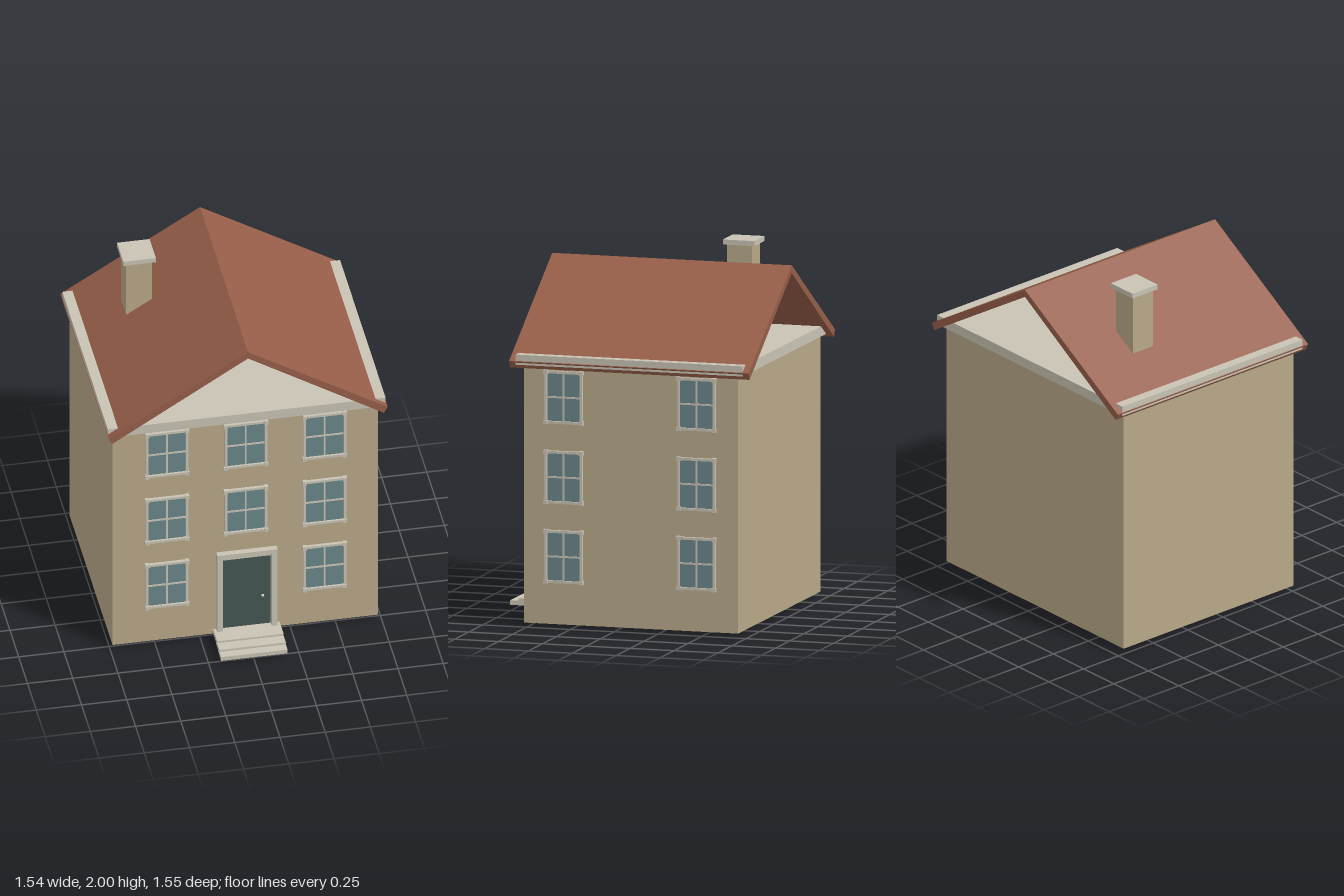
import * as THREE from 'three';

const mat = (name, color) => {
  const m = new THREE.MeshStandardMaterial({ color });
  m.name = name;
  return m;
};

export function createModel() {
  const wall = mat('tan wall', 0xb8a888);
  const trim = mat('pale trim', 0xc8c3b4);
  const roofRed = mat('brick red roof', 0x965d48);
  const glass = mat('blue grey glass', 0x6a868a);
  const doorGreen = mat('dark green door', 0x435552);

  const house = new THREE.Group();
  house.name = 'house';

  // Box given by its lower and upper limits on each axis
  const box = (parent, name, material, [x0, x1], [y0, y1], [z0, z1]) => {
    const mesh = new THREE.Mesh(new THREE.BoxGeometry(x1 - x0, y1 - y0, z1 - z0), material);
    mesh.position.set((x0 + x1) / 2, (y0 + y1) / 2, (z0 + z1) / 2);
    mesh.name = name;
    parent.add(mesh);
    return mesh;
  };

  // Walls and the flat cornice that closes them under the open gables
  box(house, 'walls', wall, [-0.735, 0.732], [0.022, 1.446], [-0.7, 0.52]);
  box(house, 'cornice', trim, [-0.768, 0.768], [1.444, 1.5], [-0.737, 0.557]);

  // Roof: two thin slopes as one chevron, run from back to front
  const chevron = new THREE.Shape([
    [-0.772, 1.463], [-0.752, 1.425], [0, 1.895], [0.752, 1.425], [0.772, 1.463], [0, 1.937],
  ].map(([x, y]) => new THREE.Vector2(x, y)));
  const roof = new THREE.Mesh(
    new THREE.ExtrudeGeometry(chevron, { depth: 1.365, bevelEnabled: false }), roofRed);
  roof.position.z = -0.772;
  roof.name = 'roof';
  house.add(roof);

  // Chimney
  box(house, 'chimneyStack', wall, [-0.502, -0.36], [1.61, 1.972], [-0.431, -0.289]);
  box(house, 'chimneyCap', trim, [-0.521, -0.341], [1.972, 2], [-0.45, -0.27]);

  // Four-pane window, centred on its wall point and facing +z
  const makeWindow = (w, h) => {
    const g = new THREE.Group();
    g.name = 'window';
    const x = w / 2, y = h / 2, t = 0.014, d = 0.018;
    box(g, 'windowGlass', glass, [-x, x], [-y, y], [0, 0.006]);
    box(g, 'verticalBar', trim, [-0.005, 0.005], [-y, y], [0, 0.01]);
    box(g, 'horizontalBar', trim, [-x, x], [-0.005, 0.005], [0, 0.01]);
    for (const s of [-1, 1]) {
      const side = box(g, 'frameSide', trim, [-t / 2, t / 2], [-y - t, y + t], [0, d]);
      side.position.x = s * (x + t / 2);
      const rail = box(g, 'frameRail', trim, [-x, x], [-t / 2, t / 2], [0, d]);
      rail.position.y = s * (y + t / 2);
      for (const v of [-1, 1]) {
        const block = box(g, 'cornerBlock', trim, [-0.011, 0.011], [-0.011, 0.011], [0, 0.024]);
        block.position.x = s * (x + t / 2);
        block.position.y = v * (y + t / 2);
      }
    }
    return g;
  };

  // Windows on the front and on the left wall; the door takes the lower middle place
  for (const y of [0.395, 0.832, 1.272]) {
    for (const x of [-0.436, 0, 0.436]) {
      if (x === 0 && y < 0.5) continue;
      const win = makeWindow(0.208, 0.266);
      win.position.set(x, y, 0.52);
      house.add(win);
    }
    for (const z of [0.291, -0.466]) {
      const win = makeWindow(0.188, 0.262);
      win.position.set(0.732, y, z);
      win.rotation.y = Math.PI / 2;
      house.add(win);
    }
  }

  // Front door with its surround
  const entrance = new THREE.Group();
  entrance.name = 'entrance';
  house.add(entrance);
  box(entrance, 'door', doorGreen, [-0.134, 0.134], [0.024, 0.53], [0.515, 0.542]);
  box(entrance, 'doorHead', trim, [-0.14, 0.14], [0.53, 0.556], [0.515, 0.556]);
  box(entrance, 'doorLintel', trim, [-0.167, 0.167], [0.554, 0.58], [0.542, 0.577]);
  for (const s of [-1, 1]) {
    const jamb = box(entrance, 'doorJamb', trim, [-0.016, 0.016], [0, 0.556], [0.542, 0.577]);
    jamb.position.x = s * 0.151;
  }
  const knob = new THREE.Mesh(new THREE.SphereGeometry(0.009, 12, 8), trim);
  knob.position.set(0.09, 0.26, 0.547);
  knob.name = 'doorKnob';
  entrance.add(knob);

  // Three overlapping treads
  const treads = [[0.02, 0.045, 0.69, 0.774], [0.03, 0.058, 0.63, 0.725], [0.04, 0.07, 0.545, 0.66]];
  for (const [y0, y1, z0, z1] of treads) {
    box(entrance, 'step', trim, [-0.184, 0.184], [y0, y1], [z0, z1]);
  }

  return house;
}
